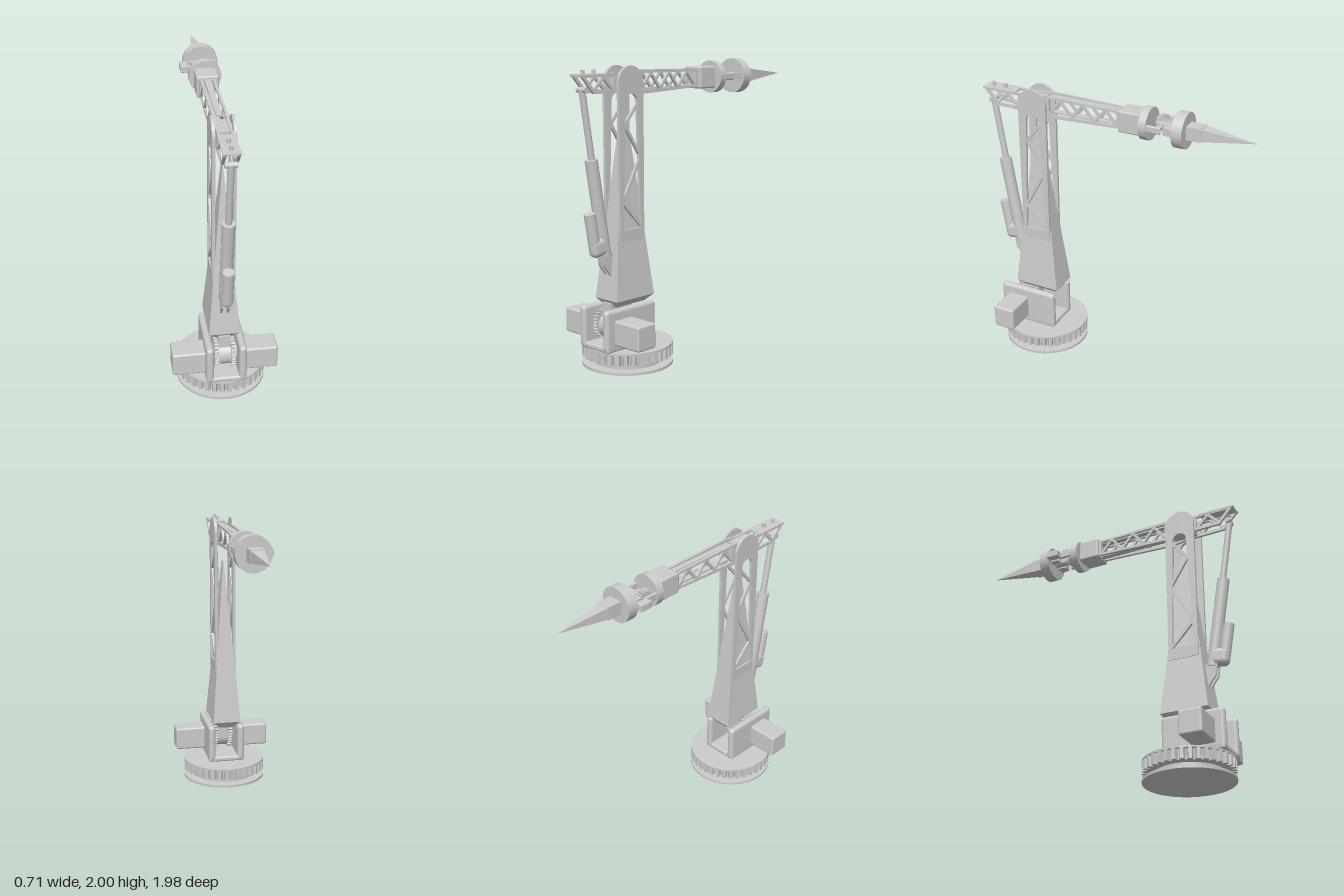
import * as THREE from 'three';
import { RoundedBoxGeometry } from 'three/addons/geometries/RoundedBoxGeometry.js';

const material = new THREE.MeshStandardMaterial({ color: 0xcccccc });
const flat = new THREE.MeshStandardMaterial({ color: 0xcccccc, flatShading: true });

function add(parent, name, geometry, x = 0, y = 0, z = 0, mat = material) {
  const mesh = new THREE.Mesh(geometry, mat);
  mesh.name = name;
  mesh.position.set(x, y, z);
  parent.add(mesh);
  return mesh;
}

const box = (w, h, d) => new THREE.BoxGeometry(w, h, d);
const rounded = (w, h, d, r) => new RoundedBoxGeometry(w, h, d, 3, r);
const discX = (r, w) => new THREE.CylinderGeometry(r, r, w, 32).rotateZ(Math.PI / 2);
const discY = (r, h) => new THREE.CylinderGeometry(r, r, h, 64);
const discZ = (r, d) => new THREE.CylinderGeometry(r, r, d, 48).rotateX(Math.PI / 2);

// Shape drawn in (z, y), extruded along x and centred on its thickness
function sidePlate(shape, thickness) {
  const g = new THREE.ExtrudeGeometry(shape, { depth: thickness, bevelEnabled: false, curveSegments: 20 });
  return g.translate(0, 0, -thickness / 2).rotateY(-Math.PI / 2);
}

const polygon = (points) => new THREE.Shape(points.map(([a, b]) => new THREE.Vector2(a, b)));

// Tapered block standing on y0, with half widths at bottom and top
function frustum(x0, z0, x1, z1, y0, y1) {
  const g = box(2, 1, 2);
  const p = g.attributes.position;
  for (let i = 0; i < p.count; i++) {
    const top = p.getY(i) > 0;
    p.setXYZ(i, p.getX(i) * (top ? x1 : x0), top ? y1 : y0, p.getZ(i) * (top ? z1 : z0));
  }
  g.computeVertexNormals();
  return g;
}

// Toothed wheel in the xy plane, centred on its thickness
function gear(outer, inner, teeth, thickness) {
  const points = [];
  for (let i = 0; i < teeth; i++) {
    [[0, inner], [0.25, outer], [0.75, outer], [1, inner]].forEach(([f, r]) => {
      const a = ((i + f * 0.85) / teeth) * Math.PI * 2;
      points.push([Math.cos(a) * r, Math.sin(a) * r]);
    });
  }
  const g = new THREE.ExtrudeGeometry(polygon(points), { depth: thickness, bevelEnabled: false });
  return g.translate(0, 0, -thickness / 2);
}

// Cylinder between two (z, y) points
function rod(parent, name, a, b, r) {
  const dz = b[0] - a[0], dy = b[1] - a[1];
  const g = new THREE.CylinderGeometry(r, r, Math.hypot(dz, dy), 28);
  add(parent, name, g, 0, (a[1] + b[1]) / 2, (a[0] + b[0]) / 2).rotation.x = Math.atan2(dz, dy);
}

// Zigzag of flat bars through (z, y) points
function bracing(parent, name, points, x, thickness, width) {
  for (let i = 1; i < points.length; i++) {
    const [a, b] = [points[i - 1], points[i]];
    const dz = b[0] - a[0], dy = b[1] - a[1];
    add(parent, name, box(thickness, Math.hypot(dz, dy), width), x, (a[1] + b[1]) / 2, (a[0] + b[0]) / 2)
      .rotation.x = Math.atan2(dz, dy);
  }
}

function turntable() {
  const g = new THREE.Group();
  g.name = 'turntable';
  g.position.z = 0.575;
  add(g, 'groundPlate', discY(0.305, 0.018), 0, 0.009);
  add(g, 'baseHub', discY(0.23, 0.05), 0, 0.04);
  add(g, 'slewGear', gear(0.305, 0.275, 36, 0.078).rotateX(-Math.PI / 2), 0, 0.1);
  add(g, 'gearCap', discY(0.305, 0.012), 0, 0.139);
  return g;
}

function shoulder() {
  const g = new THREE.Group();
  g.name = 'shoulder';
  add(g, 'bracketFloor', rounded(0.27, 0.04, 0.43, 0.015), 0, 0.163, 0.66);
  add(g, 'footLug', box(0.08, 0.16, 0.14), 0, 0.36, 0.69);
  add(g, 'footBoss', discX(0.085, 0.09), 0, 0.28, 0.71);
  add(g, 'shoulderAxle', discX(0.03, 0.19), 0, 0.28, 0.71);
  for (const s of [-1, 1]) {
    add(g, 'bracketWall', rounded(0.052, 0.275, 0.44, 0.025), s * 0.11, 0.287, 0.66);
    add(g, 'shoulderMotor', rounded(0.23, 0.168, 0.16, 0.015), s * 0.24, 0.272, 0.735);
    add(g, 'shoulderGear', gear(0.11, 0.095, 28, 0.028).rotateY(Math.PI / 2), s * 0.056, 0.29, 0.71);
    add(g, 'gearHub', discX(0.06, 0.02), s * 0.078, 0.28, 0.71);
  }
  return g;
}

function lowerArm() {
  const g = new THREE.Group();
  g.name = 'lowerArm';
  add(g, 'armFoot', frustum(0.05, 0.13, 0.104, 0.168, 0.41, 0.46), 0, 0, 0.593);
  add(g, 'taperedCore', frustum(0.104, 0.168, 0.002, 0.028, 0.46, 1.66), 0, 0, 0.593);

  // Round-topped cheek with a long tapering window
  const cheek = polygon([[0.485, 0.84], [0.70, 0.84], [0.70, 1.87]]);
  cheek.absarc(0.592, 1.87, 0.108, 0, Math.PI, false);
  const window = new THREE.Path();
  window.moveTo(0.515, 0.92);
  window.lineTo(0.67, 0.92);
  window.lineTo(0.64, 1.74);
  window.absarc(0.59, 1.75, 0.05, 0, Math.PI, false);
  cheek.holes.push(window);
  const zigzag = [[0.508, 0.93], [0.667, 1.1], [0.508, 1.39], [0.645, 1.6], [0.53, 1.74]];
  const lug = polygon([[0.68, 0.62], [0.74, 0.62], [0.80, 0.70], [0.81, 0.78], [0.68, 0.78]]);
  for (const s of [-1, 1]) {
    add(g, 'cheekPlate', sidePlate(cheek, 0.02), s * 0.067);
    bracing(g, 'cheekBrace', zigzag, s * 0.067, 0.018, 0.02);
    add(g, 'actuatorLug', sidePlate(lug, 0.014), s * 0.022);
  }
  add(g, 'elbowShaft', discX(0.055, 0.12), 0, 1.87, 0.592);
  return g;
}

function actuator() {
  const g = new THREE.Group();
  g.name = 'actuator';
  rod(g, 'barrel', [0.768, 0.765], [0.873, 1.395], 0.042);
  rod(g, 'pistonRod', [0.865, 1.37], [0.94, 1.84], 0.022);
  rod(g, 'driveMotor', [0.85, 0.80], [0.894, 1.05], 0.038);
  add(g, 'gearHousing', rounded(0.084, 0.125, 0.14, 0.038), 0, 0.825, 0.82).rotation.x = 0.165;
  add(g, 'rodPin', discX(0.018, 0.08), 0, 1.835, 0.938);
  return g;
}

function upperArm() {
  const g = new THREE.Group();
  g.name = 'upperArm';
  const plate = polygon([[-0.07, 1.815], [0.49, 1.79], [0.6, 1.805], [0.885, 1.81],
    [0.99, 1.93], [0.6, 1.93], [0.49, 1.945], [-0.07, 1.935]]);
  plate.holes.push(polygon([[-0.04, 1.83], [-0.04, 1.92], [0.47, 1.925], [0.47, 1.815]]));
  plate.holes.push(polygon([[0.71, 1.83], [0.71, 1.91], [0.945, 1.91], [0.875, 1.83]]));
  const zigzag = [];
  for (let i = 0; i <= 6; i++) zigzag.push([0.47 - i * 0.085, i % 2 ? 1.925 : 1.822]);
  for (const s of [-1, 1]) {
    add(g, 'trussPlate', sidePlate(plate, 0.018), s * 0.042);
    bracing(g, 'trussBrace', zigzag, s * 0.042, 0.016, 0.018);
    bracing(g, 'rearBrace', [[0.72, 1.83], [0.80, 1.91], [0.88, 1.83]], s * 0.042, 0.016, 0.018);
  }
  for (const y of [1.822, 1.928]) add(g, 'centreRail', box(0.04, 0.012, 0.54), 0, y, 0.21);
  add(g, 'elbowBlock', box(0.07, 0.11, 0.17), 0, 1.867, 0.6);
  add(g, 'rearTopPlate', box(0.11, 0.012, 0.25), 0, 1.925, 0.863);
  for (const z of [0.84, 0.932]) add(g, 'rearBolt', new THREE.CylinderGeometry(0.013, 0.013, 0.03, 16), 0, 1.943, z);
  return g;
}

function wrist() {
  const g = new THREE.Group();
  g.name = 'wrist';
  g.position.set(0.008, 1.877, 0);
  add(g, 'wristBlock', rounded(0.15, 0.15, 0.155, 0.012), -0.004, 0, -0.135);
  add(g, 'wristSpindle', discZ(0.05, 0.04), 0, 0, -0.215);
  add(g, 'innerFlange', discZ(0.111, 0.053), 0, 0, -0.249);
  add(g, 'outerFlange', discZ(0.121, 0.074), 0, 0, -0.493);
  for (const x of [-0.09, 0.09]) add(g, 'forkLug', rounded(0.02, 0.05, 0.12, 0.009), x, 0, -0.315);
  add(g, 'tiltPin', discX(0.018, 0.2), 0, 0, -0.345);
  add(g, 'tiltGear', gear(0.057, 0.045, 20, 0.045).rotateY(Math.PI / 2), -0.052, 0, -0.34);
  add(g, 'tiltLink', box(0.048, 0.045, 0.15), 0.002, 0, -0.39);
  add(g, 'gearBlock', box(0.05, 0.045, 0.1), -0.052, 0, -0.415);
  add(g, 'tiltMotor', rounded(0.055, 0.05, 0.09, 0.006), -0.122, 0, -0.407);
  add(g, 'motorShaft', discX(0.012, 0.08), -0.07, 0, -0.407);
  add(g, 'tiltLug', frustum(0.036, 0.025, 0.025, 0.025, 0, 0.07).rotateX(Math.PI / 2), 0.065, 0, -0.46);
  add(g, 'toolSocket', box(0.098, 0.09, 0.11), 0, 0, -0.58);
  add(g, 'spike', frustum(0.046, 0.041, 0.001, 0.001, 0, 0.355).rotateX(-Math.PI / 2), 0, 0, -0.632, flat);
  return g;
}

export function createModel() {
  const model = new THREE.Group();
  model.name = 'roboticArm';
  model.add(turntable(), shoulder(), lowerArm(), actuator(), upperArm(), wrist());
  return model;
}
